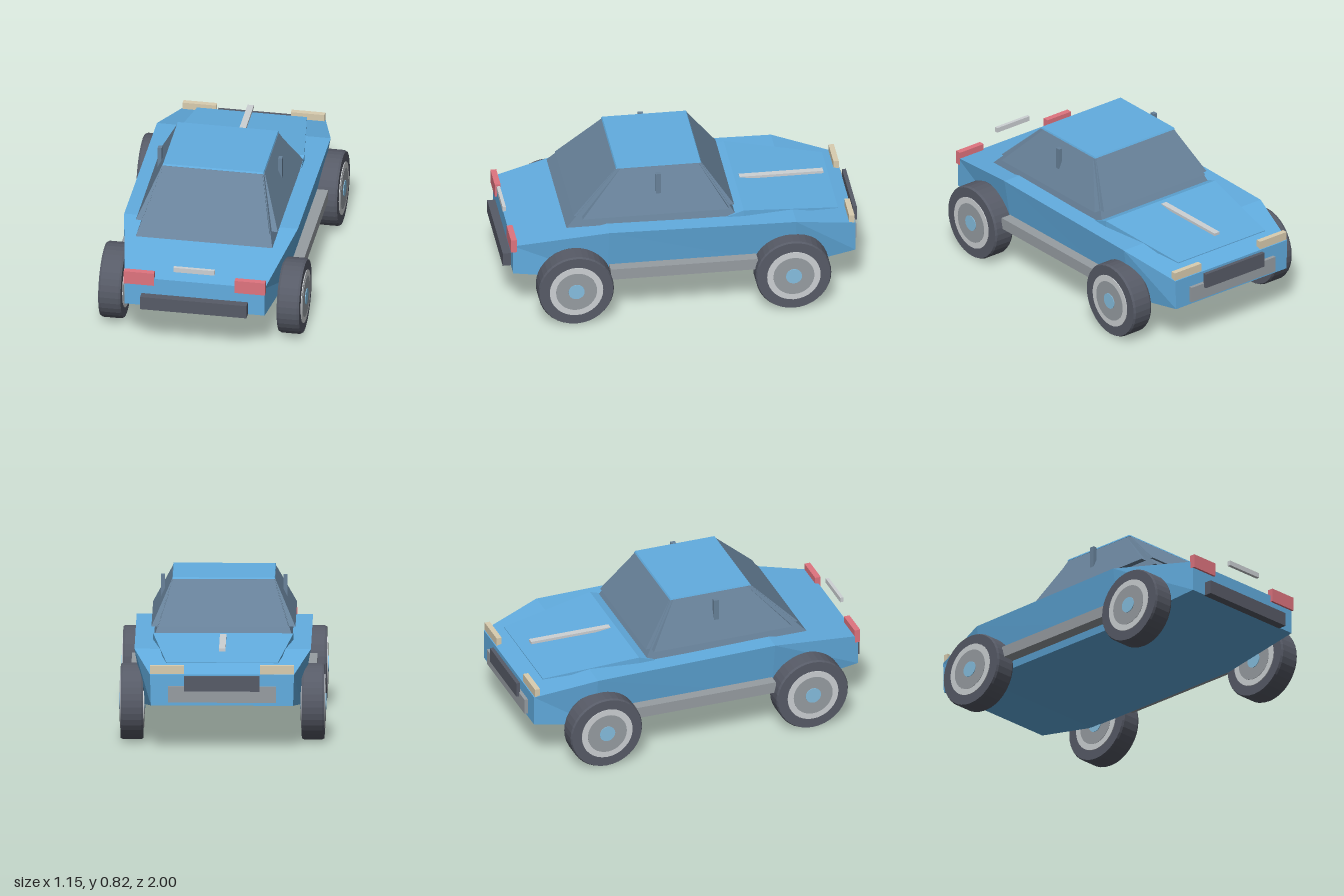
import * as THREE from 'three';

const mat = (name, color) => {
  const m = new THREE.MeshStandardMaterial({ color });
  m.name = name;
  return m;
};

// Faceted copy of a geometry
const faceted = (geo) => {
  const g = geo.index ? geo.toNonIndexed() : geo;
  g.computeVertexNormals();
  return g;
};

// Symmetric four-cornered solid lofted along z.
// Section: [half width bottom, y bottom, z bottom, half width top, y top, z top]
function loft(sections) {
  const rings = sections.map(([wb, yb, zb, wt, yt, zt]) => [
    [-wb, yb, zb], [wb, yb, zb], [wt, yt, zt], [-wt, yt, zt],
  ]);
  const pos = [];
  const quad = (a, b, c, d) => pos.push(...a, ...b, ...c, ...a, ...c, ...d);
  for (let i = 0; i < rings.length - 1; i++) {
    const r = rings[i], s = rings[i + 1];
    for (let j = 0; j < 4; j++) {
      const k = (j + 1) % 4;
      quad(r[j], r[k], s[k], s[j]);
    }
  }
  const first = rings[0], last = rings[rings.length - 1];
  quad(first[3], first[2], first[1], first[0]);
  quad(...last);
  const g = new THREE.BufferGeometry();
  g.setAttribute('position', new THREE.Float32BufferAttribute(pos, 3));
  g.computeVertexNormals();
  return g;
}

export function createModel() {
  const paint = mat('body blue', 0x62ade0);
  const glass = mat('smoky glass', 0x68829a);
  const dark = mat('dark rubber', 0x575b67);
  const silver = mat('silver', 0xcdd1d4);
  const grey = mat('trim grey', 0x979da2);
  const red = mat('tail red', 0xe0747f);
  const cream = mat('lamp cream', 0xd9cdb0);
  const hubBlue = mat('hub blue', 0x86bfe0);

  const model = new THREE.Group();
  model.name = 'car';
  const add = (name, geo, material, parent = model) => {
    const m = new THREE.Mesh(geo, material);
    m.name = name;
    parent.add(m);
    return m;
  };
  // Box given by its extents
  const box = (name, material, x0, x1, y0, y1, z0, z1) => {
    const m = add(name, new THREE.BoxGeometry(x1 - x0, y1 - y0, z1 - z0), material);
    m.position.set((x0 + x1) / 2, (y0 + y1) / 2, (z0 + z1) / 2);
    return m;
  };
  // The same box on both sides of the car
  const pair = (name, material, x0, x1, ...rest) => {
    box(name + 'Left', material, x0, x1, ...rest);
    box(name + 'Right', material, -x1, -x0, ...rest);
  };

  // Body shell, tapering towards both ends
  add('body', loft([
    [0.395, 0.25, -0.965, 0.4, 0.425, -0.965],
    [0.435, 0.2, -0.62, 0.49, 0.51, -0.62],
    [0.435, 0.2, 0.43, 0.49, 0.525, 0.43],
    [0.395, 0.257, 0.955, 0.395, 0.43, 0.955],
  ]), paint);

  // Raised lid with a central stripe
  add('lid', loft([
    [0.31, 0.475, -0.88, 0.31, 0.48, -0.88],
    [0.39, 0.508, -0.34, 0.39, 0.55, -0.34],
    [0.39, 0.51, -0.24, 0.39, 0.52, -0.25],
  ]), paint);
  box('lidStripe', silver, -0.018, 0.018, 0.535, 0.55, -0.84, -0.37);

  // Cabin, with the window panels standing proud above the sill
  add('cabin', loft([
    [0.385, 0.518, -0.3, 0.283, 0.816, -0.115],
    [0.385, 0.518, 0.655, 0.283, 0.816, 0.36],
  ]), glass);
  add('sideWindows', loft([
    [0.4, 0.572, -0.255, 0.287, 0.814, -0.1],
    [0.4, 0.572, 0.565, 0.287, 0.814, 0.34],
  ]), glass);
  add('endWindows', loft([
    [0.362, 0.577, -0.29, 0.278, 0.815, -0.118],
    [0.362, 0.577, 0.612, 0.278, 0.815, 0.364],
  ]), glass);
  add('roof', loft([
    [0.286, 0.816, -0.117, 0.283, 0.825, -0.112],
    [0.286, 0.816, 0.363, 0.283, 0.825, 0.358],
  ]), paint);
  pair('mirror', glass, 0.328, 0.351, 0.675, 0.8, 0.12, 0.148);

  // Side trim
  pair('sideSill', grey, 0.44, 0.515, 0.24, 0.305, -0.4, 0.425);

  // Lamps, bumpers and end trim
  pair('tailLamp', red, 0.228, 0.398, 0.393, 0.47, 0.935, 0.968);
  box('tailBumper', dark, -0.3, 0.3, 0.255, 0.333, 0.95, 1);
  box('tailBar', silver, -0.117, 0.115, 0.496, 0.524, 0.955, 0.974);
  pair('headLamp', cream, 0.21, 0.4, 0.415, 0.473, -0.96, -0.93);
  box('noseGrille', grey, -0.3, 0.3, 0.27, 0.36, -0.985, -0.96);
  box('noseBumper', dark, -0.21, 0.21, 0.335, 0.42, -1, -0.978);

  // Wheels: tyre, rim, inner disc and hub
  const h = 0.063, r = 0.212;
  const tyreGeo = faceted(new THREE.LatheGeometry([
    [0, -h], [r - 0.006, -h], [r, -h + 0.012], [r, h - 0.012], [r - 0.006, h], [0, h],
  ].map(([x, y]) => new THREE.Vector2(x, y)), 36));
  const disc = (radius, width) => new THREE.CylinderGeometry(radius, radius, width, 32);
  const rimGeo = disc(0.15, 0.134), plateGeo = disc(0.115, 0.138), hubGeo = disc(0.045, 0.145);
  for (const [end, z] of [['nose', -0.595], ['tail', 0.625]]) {
    for (const [side, s] of [['Left', 1], ['Right', -1]]) {
      const wheel = new THREE.Group();
      wheel.name = end + 'Wheel' + side;
      add('tyre', tyreGeo, dark, wheel);
      add('rim', rimGeo, silver, wheel);
      add('rimDisc', plateGeo, grey, wheel);
      add('hub', hubGeo, hubBlue, wheel);
      wheel.rotation.z = Math.PI / 2;
      wheel.position.set(s * 0.503, r, z);
      model.add(wheel);
    }
  }
  return model;
}
